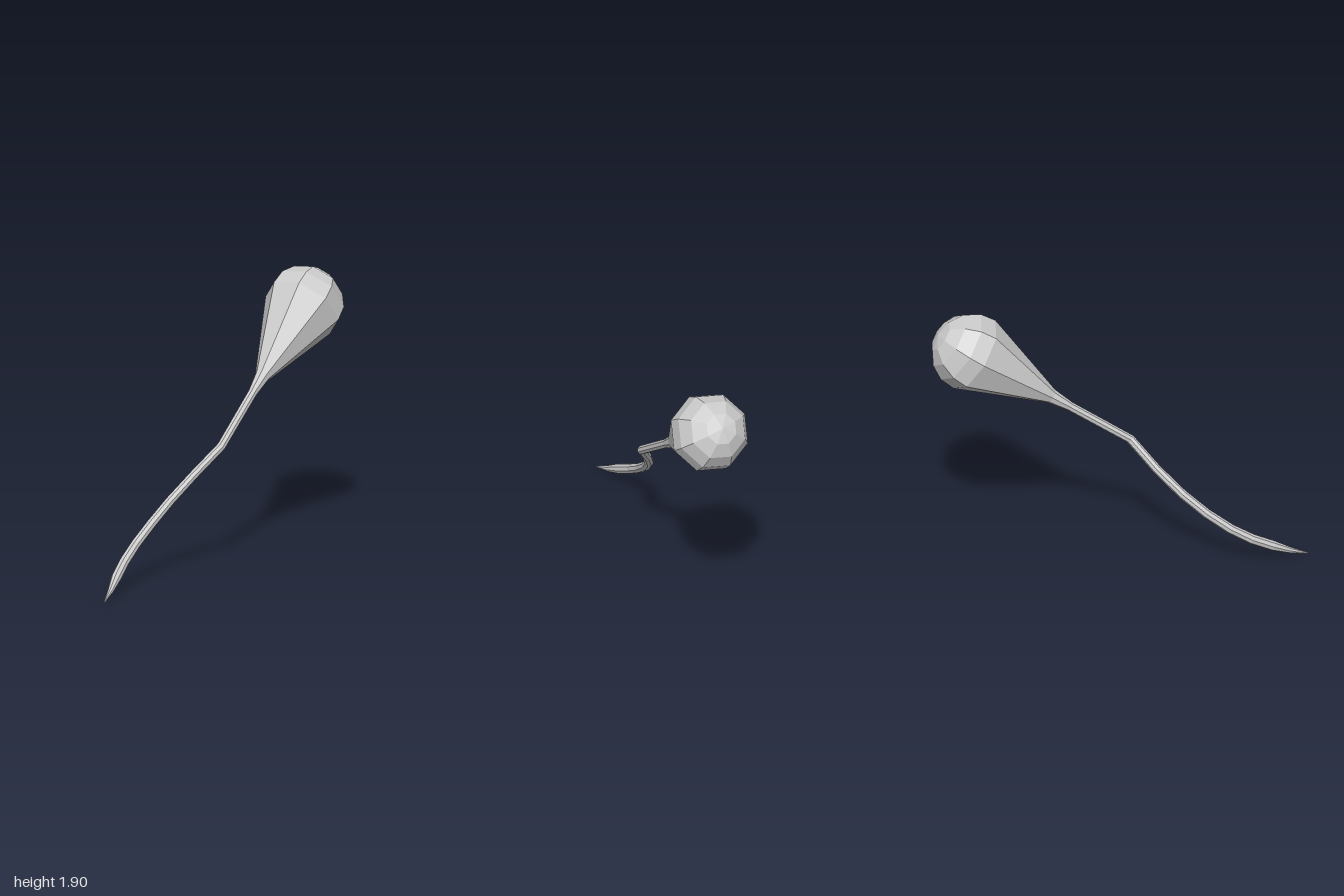
import * as THREE from 'three';

const SIDES = 8;
const SIDEWAYS = new THREE.Vector3(0.69, -0.72, 0); // shared ring direction, normal to the bend plane
const material = new THREE.MeshStandardMaterial({ color: 0xcccccc, flatShading: true });

// Faceted skin through a list of { p, r } stations; both ends are closed.
function loft(name, stations, tangents) {
  const positions = [], index = [];
  stations.forEach(({ p, r }, i) => {
    const t = tangents[i];
    const u = SIDEWAYS.clone().addScaledVector(t, -SIDEWAYS.dot(t)).normalize();
    const v = new THREE.Vector3().crossVectors(t, u);
    for (let k = 0; k < SIDES; k++) {
      const a = (k / SIDES) * Math.PI * 2;
      const q = p.clone().addScaledVector(u, r * Math.cos(a)).addScaledVector(v, r * Math.sin(a));
      positions.push(q.x, q.y, q.z);
    }
  });
  const last = (stations.length - 1) * SIDES;
  for (let i = 0; i < last; i += SIDES) {
    for (let k = 0; k < SIDES; k++) {
      const a = i + k, b = i + ((k + 1) % SIDES);
      index.push(a, b, b + SIDES, a, b + SIDES, a + SIDES);
    }
  }
  for (let k = 1; k < SIDES - 1; k++) {
    index.push(0, k + 1, k, last, last + k, last + k + 1);
  }
  const geometry = new THREE.BufferGeometry();
  geometry.setAttribute('position', new THREE.Float32BufferAttribute(positions, 3));
  geometry.setIndex(index);
  geometry.computeVertexNormals();
  const mesh = new THREE.Mesh(geometry, material);
  mesh.name = name;
  return mesh;
}

export function createModel() {
  const group = new THREE.Group();
  group.name = 'clubWithCurvedTail';

  // Curved tail from pointed tip to joint: x, y, z, radius
  const tail = [
    [-0.995, 0.006, 0.925, 0.005],
    [-0.93, 0.055, 0.81, 0.022],
    [-0.87, 0.115, 0.70, 0.036],
    [-0.79, 0.19, 0.575, 0.036],
    [-0.69, 0.28, 0.465, 0.035],
    [-0.56, 0.395, 0.365, 0.034],
    [-0.41, 0.53, 0.28, 0.033],
    [-0.23, 0.69, 0.215, 0.032],
    [-0.03, 0.87, 0.17, 0.032],
  ].map(([x, y, z, r]) => ({ p: new THREE.Vector3(x, y, z), r }));

  // Straight neck flaring into the bulb: distance from joint, radius
  const joint = tail[tail.length - 1].p;
  const axis = new THREE.Vector3(0.73, 0.75, -0.81).normalize();
  const profile = [[0, 0.032], [0.51, 0.033], [0.67, 0.053]];

  // Rounded dome on the end of the bulb
  const R = 0.28, centre = 1.345, start = -0.1;
  for (let i = 0; i <= 4; i++) {
    const a = start + (i / 4) * (Math.PI / 2 - start);
    profile.push([centre + R * Math.sin(a), Math.max(R * Math.cos(a), 0.0005)]);
  }
  const head = profile.map(([s, r]) => ({ p: joint.clone().addScaledVector(axis, s), r }));

  // Ring planes: averaged along the tail, mitred at the joint, square to the head axis
  const step = (a, b) => b.p.clone().sub(a.p).normalize();
  const tailTangents = tail.map((s, i) => {
    const before = step(tail[Math.max(i - 1, 0)], tail[Math.max(i, 1)]);
    const after = i < tail.length - 1 ? step(s, tail[i + 1]) : axis;
    return before.add(after).normalize();
  });
  const mitre = tailTangents[tail.length - 1];
  const headTangents = head.map((s, i) => (i === 0 ? mitre : axis));

  group.add(loft('curvedTail', tail, tailTangents), loft('bulbHead', head, headTangents));
  return group;
}
